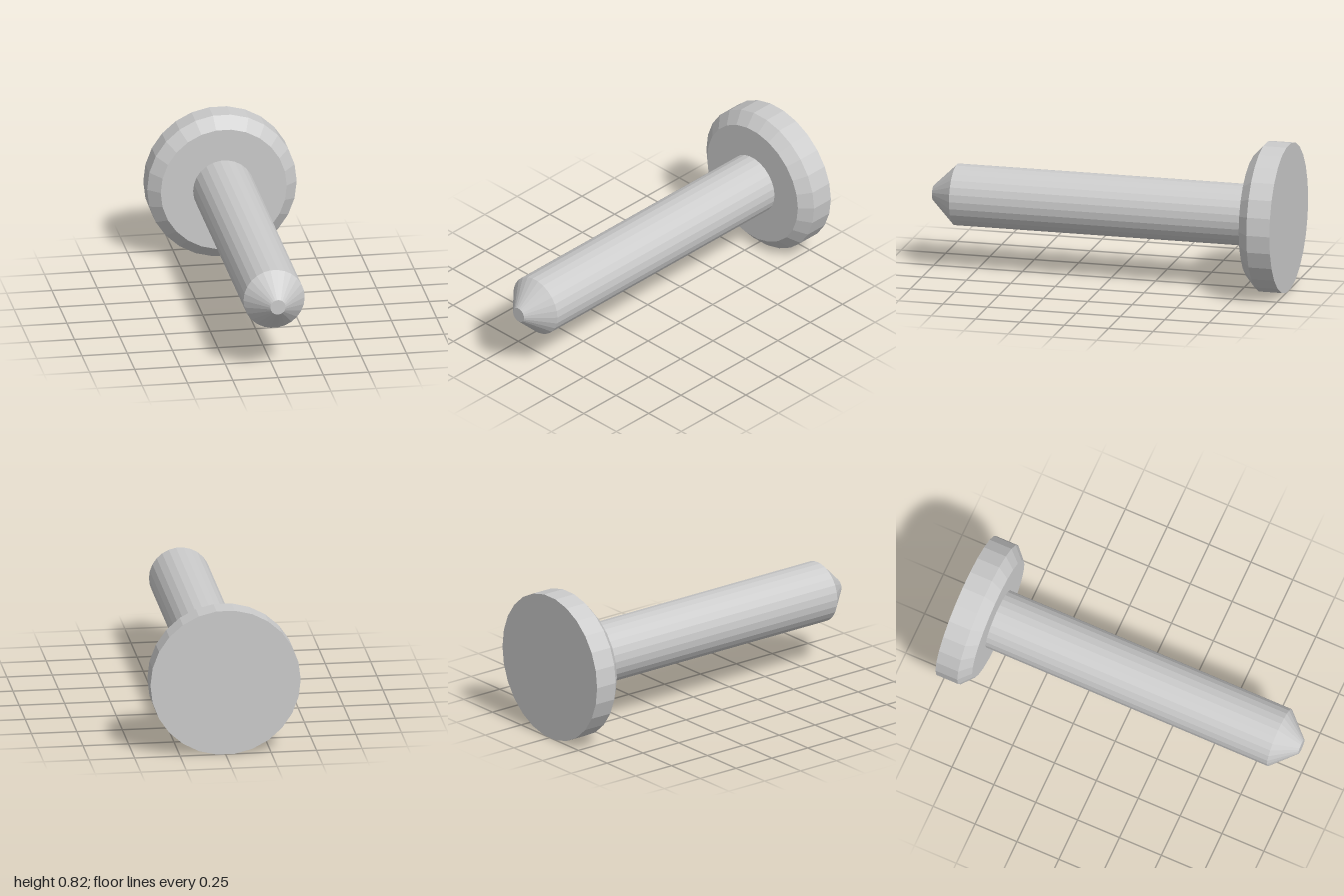
import * as THREE from 'three';

const SIDES = 26;
const AXIS_HEIGHT = 0.41;

// Faceted solid of revolution along z, from [radius, z] pairs ordered back to front
function turned(name, profile, material) {
  const points = profile.map(([r, z]) => new THREE.Vector2(r, z));
  const geometry = new THREE.LatheGeometry(points, SIDES, Math.PI / 2);
  geometry.rotateX(Math.PI / 2);
  const mesh = new THREE.Mesh(geometry, material);
  mesh.name = name;
  mesh.position.y = AXIS_HEIGHT;
  return mesh;
}

export function createModel() {
  const group = new THREE.Group();
  group.name = 'pin';
  const material = new THREE.MeshStandardMaterial({ color: 0xcccccc, flatShading: true });

  // Round head with a chamfered front rim
  group.add(turned('head', [[0, -1], [0.413, -1], [0.413, -0.87], [0.348, -0.81], [0, -0.81]], material));

  // Straight shank, seated on the head
  group.add(turned('shank', [[0.169, -0.81], [0.169, 0.87]], material));

  // Blunt conical tip
  group.add(turned('tip', [[0.169, 0.87], [0.042, 1], [0, 1]], material));

  return group;
}
